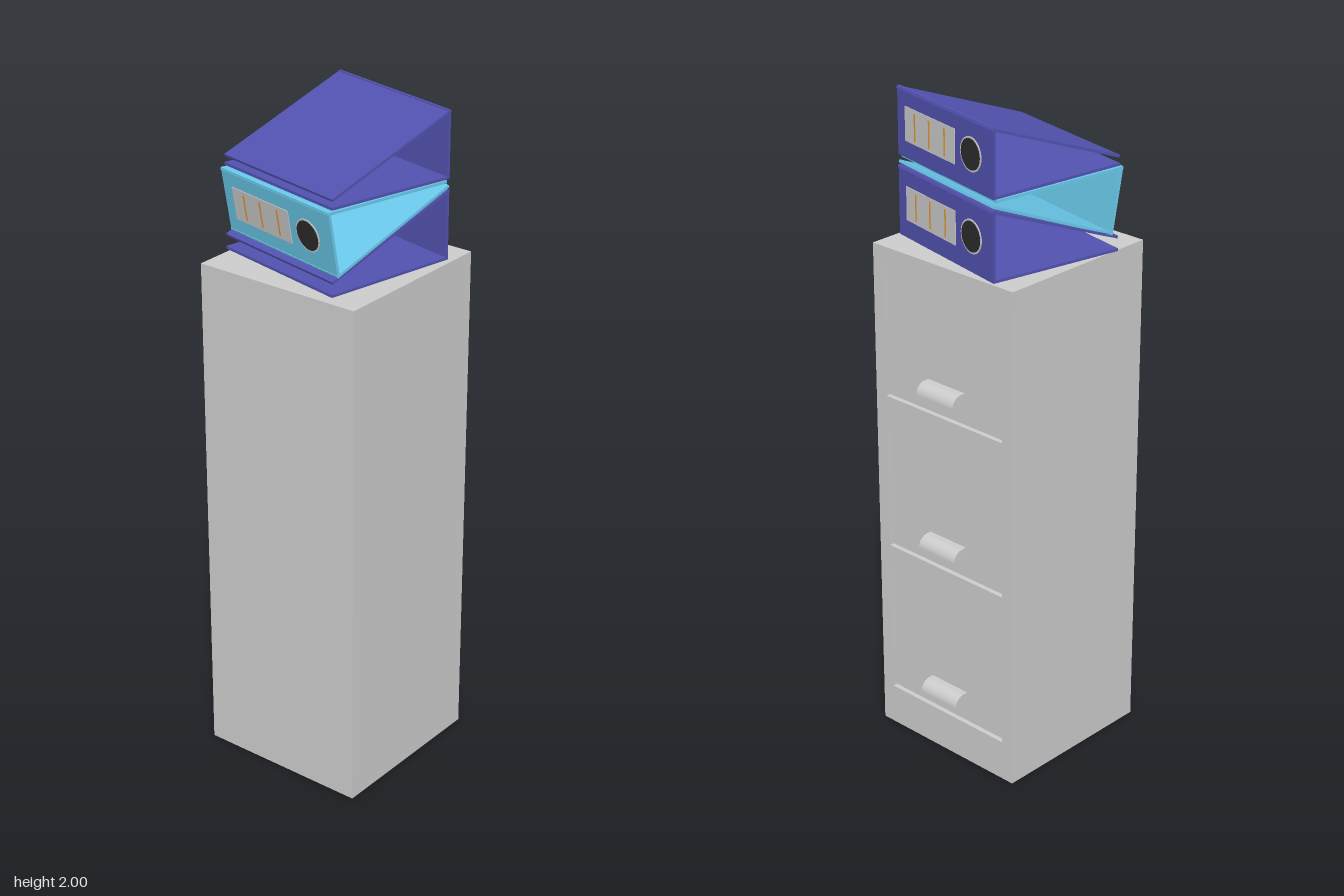
import * as THREE from 'three';

const mat = (color) => new THREE.MeshStandardMaterial({ color });
const grey = mat(0xcccccc), blue = mat(0x5252b0), teal = mat(0x69c8ea);
const paper = mat(0xe0e0e0), orange = mat(0xe0962f), dark = mat(0x2c2c2c);

function add(parent, name, geometry, material, x = 0, y = 0, z = 0) {
  const mesh = new THREE.Mesh(geometry, material);
  mesh.name = name;
  mesh.position.set(x, y, z);
  parent.add(mesh);
  return mesh;
}

// Rectangle path, usable as an outline or a hole
function rect(path, x0, y0, x1, y1) {
  path.moveTo(x0, y0);
  path.lineTo(x1, y0);
  path.lineTo(x1, y1);
  path.lineTo(x0, y1);
  path.closePath();
  return path;
}

const X = 0.0065, W = 0.537, H = 1.562, BACK = -0.252, FRONT = 0.283, RECESS = 0.015;
const PITCH = 0.488;

function makeCabinet() {
  const g = new THREE.Group();
  g.name = 'filingCabinet';
  const depth = FRONT - BACK - RECESS;
  add(g, 'cabinetBody', new THREE.BoxGeometry(W, H, depth), grey, 0, H / 2, FRONT - depth / 2);

  // Frame with three drawer openings
  const frame = rect(new THREE.Shape(), -W / 2, 0, W / 2, H);
  for (let i = 0; i < 3; i++) {
    const top = H - 0.04 - i * PITCH;
    frame.holes.push(rect(new THREE.Path(), -0.228, top - 0.42, 0.228, top));
    g.add(makeHandle(1.165 - i * PITCH));
  }
  add(g, 'drawerFrame', new THREE.ExtrudeGeometry(frame, { depth: RECESS, bevelEnabled: false }),
    grey, 0, 0, BACK);
  g.position.x = X;
  return g;
}

// Quarter-round cup pull, hollow from below
function makeHandle(y) {
  const g = new THREE.Group();
  g.name = 'drawerHandle';
  const w = 0.143, t = 0.004, r = 0.034, flat = RECESS;
  const shell = new THREE.Shape();
  shell.moveTo(0, r);
  shell.lineTo(flat, r);
  shell.absarc(flat, 0, r, Math.PI / 2, 0, true);
  shell.lineTo(flat + r - t, 0);
  shell.absarc(flat, 0, r - t, 0, Math.PI / 2, false);
  shell.lineTo(0, r - t);
  const cap = new THREE.Shape();
  cap.moveTo(0, 0);
  cap.lineTo(flat + r, 0);
  cap.absarc(flat, 0, r, 0, Math.PI / 2, false);
  cap.lineTo(0, r);
  const extrude = (shape, depth) =>
    new THREE.ExtrudeGeometry(shape, { depth, bevelEnabled: false, curveSegments: 8 });
  add(g, 'handleShell', extrude(shell, w), grey, 0, 0, -w / 2);
  add(g, 'handleEnd', extrude(cap, t), grey, 0, 0, -w / 2);
  add(g, 'handleEnd', extrude(cap, t), grey, 0, 0, w / 2 - t);
  g.rotation.y = Math.PI / 2;
  g.position.set(0, y, BACK + RECESS);
  return g;
}

// Binder from a four-point (z, y) profile: bottom edge, spine foot, spine top, top edge
function makeBinder(name, material, profile, turn) {
  const g = new THREE.Group();
  g.name = name;
  const width = 0.461, t = 0.008;
  const panels = ['bottomCover', 'spine', 'topCover'].map((part, i) => {
    const [z0, y0] = profile[i], [z1, y1] = profile[i + 1];
    const geo = new THREE.BoxGeometry(width, t, Math.hypot(z1 - z0, y1 - y0)).translate(0, t / 2, 0);
    const panel = add(g, part, geo, material, 0, (y0 + y1) / 2, (z0 + z1) / 2);
    panel.rotation.x = -Math.atan2(y1 - y0, z1 - z0);
    return panel;
  });

  // Spine label, its coloured lines and the finger hole
  const spine = panels[1];
  add(spine, 'label', new THREE.BoxGeometry(0.243, 0.002, 0.1), paper, -0.07, -0.001, 0);
  for (const x of [-0.142, -0.072, 0.003])
    add(spine, 'labelLine', new THREE.BoxGeometry(0.006, 0.002, 0.08), orange, x, -0.002, 0);
  add(spine, 'holeRing', new THREE.CylinderGeometry(0.049, 0.049, 0.002, 32), paper, 0.127, -0.001, 0);
  add(spine, 'fingerHole', new THREE.CylinderGeometry(0.044, 0.044, 0.002, 32), dark, 0.127, -0.002, 0);

  g.rotation.y = turn;
  g.position.set(-0.005, 0, 0.0025);
  return g;
}

export function createModel() {
  const model = new THREE.Group();
  model.name = 'filingCabinetWithBinders';
  const turn = -0.2, d = 0.21;
  model.add(
    makeCabinet(),
    makeBinder('lowerBinder', blue, [[-d, 1.565], [d, 1.565], [d, 1.772], [-d, 1.61]], turn + Math.PI),
    makeBinder('middleBinder', teal, [[-0.21, 1.778], [0.19, 1.615], [0.223, 1.81], [-0.2, 1.8]], turn),
    makeBinder('upperBinder', blue, [[-d, 1.814], [d, 1.802], [d, 2], [-d, 1.845]], turn + Math.PI),
  );
  return model;
}
